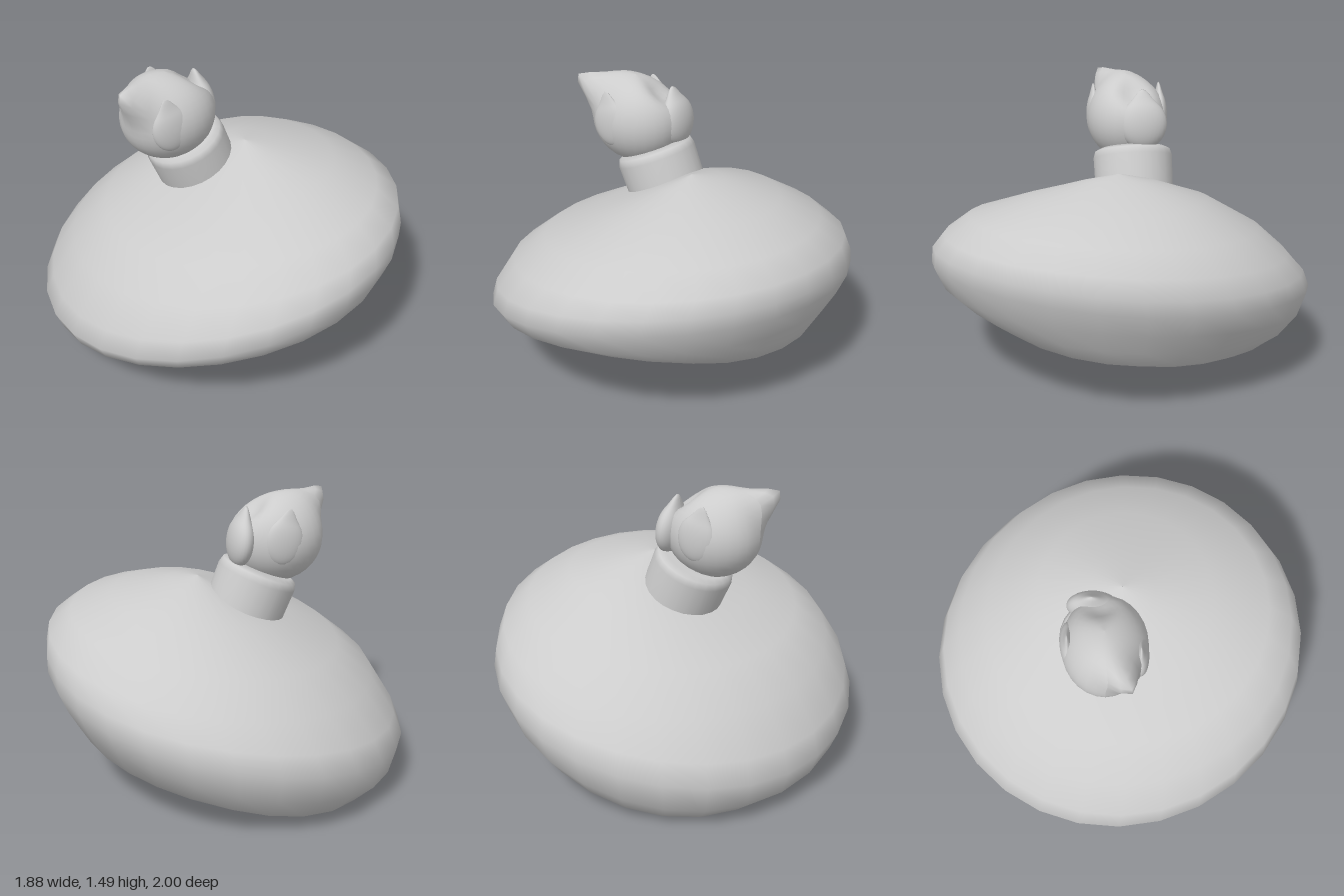
import * as THREE from 'three';

const SEGS = 28;

// Loft of offset ellipses. Each ring: x+, x-, z+, z- extents, the height at +x, +z, -x, -z,
// and a diagonal warp that lifts the -x+z and +x-z corners when negative.
function loft(rings) {
  const pos = [], index = [];
  for (const [xp, xn, zp, zn, a, b, c, d, warp = 0] of rings) {
    const mean = (a + b + c + d) / 4, twist = (a + c - b - d) / 4;
    for (let j = 0; j < SEGS; j++) {
      const t = (j / SEGS) * Math.PI * 2, cos = Math.cos(t), sin = Math.sin(t);
      pos.push(
        (xp + xn) / 2 + ((xp - xn) / 2) * cos,
        mean + ((a - c) / 2) * cos + ((b - d) / 2) * sin + twist * Math.cos(2 * t) + warp * Math.sin(2 * t),
        (zp + zn) / 2 + ((zp - zn) / 2) * sin
      );
    }
  }
  for (let k = 0; k < rings.length - 1; k++) {
    for (let j = 0; j < SEGS; j++) {
      const n = (j + 1) % SEGS;
      const p = k * SEGS + j, q = k * SEGS + n, r = p + SEGS, s = q + SEGS;
      index.push(p, q, r, q, s, r);
    }
  }
  const g = new THREE.BufferGeometry();
  g.setAttribute('position', new THREE.Float32BufferAttribute(pos, 3));
  g.setIndex(index);
  g.computeVertexNormals();
  return g;
}

// Sphere whose surface is pulled out (or pushed in) around given directions.
function pulledSphere(radii, pulls) {
  const g = new THREE.SphereGeometry(1, 28, 20);
  const p = g.attributes.position, n = new THREE.Vector3(), v = new THREE.Vector3();
  const size = new THREE.Vector3(...radii);
  const dirs = pulls.map(([x, y, z]) => new THREE.Vector3(x, y, z).normalize());
  for (let i = 0; i < p.count; i++) {
    n.fromBufferAttribute(p, i);
    v.copy(n).multiply(size);
    pulls.forEach(([, , , amount, power], k) => {
      const w = Math.pow(Math.max(0, n.dot(dirs[k])), power);
      v.addScaledVector(dirs[k], amount * w);
    });
    p.setXYZ(i, v.x, v.y, v.z);
  }
  g.computeVertexNormals();
  return g;
}

export function createModel() {
  const cloth = new THREE.MeshStandardMaterial({ color: 0xcccccc, side: THREE.DoubleSide });
  cloth.name = 'paleGrey';
  const model = new THREE.Group();
  model.name = 'floppyHat';
  const add = (name, geometry, position = [0, 0, 0], rotation = [0, 0, 0]) => {
    const mesh = new THREE.Mesh(geometry, cloth);
    mesh.name = name;
    mesh.position.set(...position);
    mesh.rotation.set(...rotation);
    model.add(mesh);
  };

  // Puffy crown, from the peak over the rim, round the lip and up to the inner crease
  const crease = [0.74, -0.58, 0.66, -0.7, 0.28, 0.44, 0.22, 0.14, -0.03];
  add('crown', loft([
    [0.141, 0.139, 0.031, 0.029, 1.07, 1.07, 1.07, 1.07],
    [0.3, -0.05, 0.2, -0.15, 1.05, 1.04, 0.98, 1.03],
    [0.6, -0.35, 0.5, -0.42, 0.98, 0.97, 0.84, 0.94],
    [0.8, -0.6, 0.8, -0.7, 0.89, 0.87, 0.73, 0.77],
    [0.92, -0.78, 0.93, -0.86, 0.8, 0.77, 0.58, 0.62],
    [0.94, -0.9, 0.99, -0.96, 0.7, 0.68, 0.38, 0.5],
    [0.94, -0.94, 1.0, -1.0, 0.62, 0.59, 0.27, 0.4],
    [0.89, -0.9, 0.95, -0.96, 0.5, 0.48, 0.17, 0.25, -0.02],
    [0.83, -0.8, 0.86, -0.86, 0.39, 0.43, 0.13, 0.13, -0.04],
    [0.78, -0.69, 0.76, -0.77, 0.3, 0.42, 0.14, 0.1, -0.05],
    crease,
  ]));

  // Band sloping inward and up to the head opening
  add('headBand', loft([
    crease,
    [0.64, -0.44, 0.54, -0.61, 0.36, 0.44, 0.25, 0.21, -0.02],
    [0.57, -0.33, 0.42, -0.54, 0.41, 0.43, 0.3, 0.29],
  ]));

  // Leaning collar with a rounded top edge
  const collar = [[0.205, 0], [0.21, 0.24], [0.2, 0.275], [0.17, 0.29], [0, 0.28]];
  add('collar', new THREE.LatheGeometry(collar.map(([x, y]) => new THREE.Vector2(x, y)), 24),
    [-0.055, 0.855, -0.08], [0, 0, 0.39]);

  // Bud with a curled tip
  add('bud', pulledSphere([0.245, 0.225, 0.21], [
    [-0.29, 0.21, 0.14, 0.13, 20],
    [-0.15, 0.22, 0.02, 0.04, 6],
    [0.12, 0.15, -0.02, -0.05, 14],
  ]), [-0.25, 1.27, -0.06]);

  // Pointed petals wrapped around the bud
  const petals = [
    ['sidePetal', [0.065, 0.13, 0.125], [-0.045, 1.28, -0.12], 0.12],
    ['frontPetal', [0.1, 0.12, 0.04], [-0.3, 1.28, 0.11], 0.1],
    ['backPetal', [0.1, 0.12, 0.04], [-0.24, 1.29, -0.235], 0.1],
  ];
  for (const [name, radii, position, lean] of petals) {
    add(name, pulledSphere(radii, [[-0.1, 1, 0, 0.05, 14]]), position, [0, 0, lean]);
  }
  return model;
}
